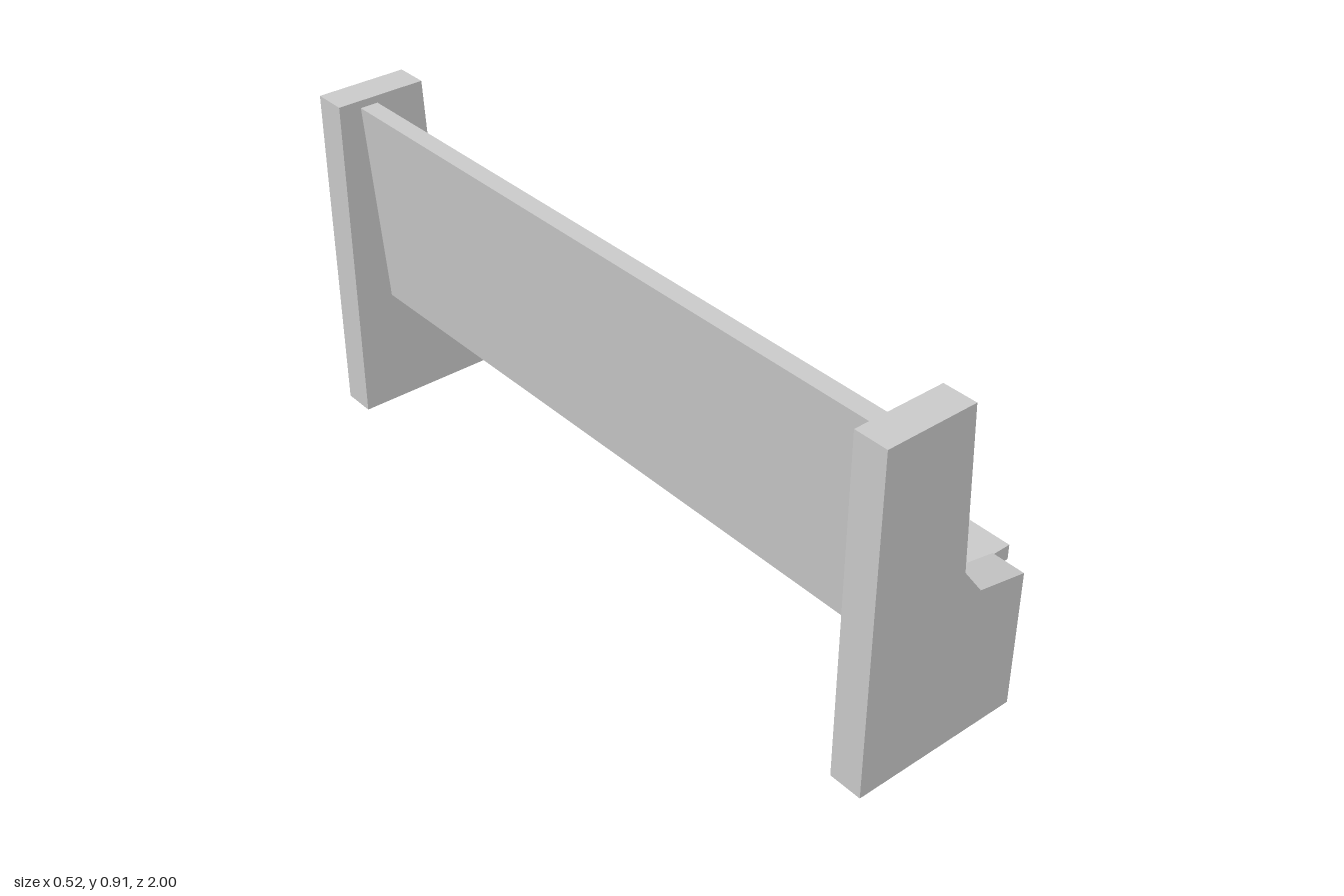
import * as THREE from 'three';

const material = new THREE.MeshStandardMaterial({ color: 0xcccccc, flatShading: true });

// Extrudes an x-y profile along z between z0 and z1
function slab(name, points, z0, z1) {
  const shape = new THREE.Shape(points.map(([x, y]) => new THREE.Vector2(x, y)));
  const geometry = new THREE.ExtrudeGeometry(shape, { depth: z1 - z0, bevelEnabled: false });
  geometry.translate(0, 0, z0);
  const mesh = new THREE.Mesh(geometry, material);
  mesh.name = name;
  return mesh;
}

export function createModel() {
  const bench = new THREE.Group();
  bench.name = 'bench';
  const inner = 0.91, outer = 1;

  // Solid end panels with a stepped armrest outline
  const panel = [
    [-0.262, 0], [0.205, 0], [0.205, 0.373], [0.064, 0.4],
    [0.007, 0.477], [-0.015, 0.913], [-0.262, 0.913],
  ];
  bench.add(slab('leftEndPanel', panel, inner, outer));
  bench.add(slab('rightEndPanel', panel, -outer, -inner));

  // Seat board, its rear edge flush with the leaning back
  const seat = [[-0.156, 0.328], [0.26, 0.328], [0.26, 0.368], [-0.159, 0.368]];
  bench.add(slab('seat', seat, -inner, inner));

  // Backrest board leaning slightly backwards
  const back = [[-0.159, 0.368], [-0.109, 0.368], [-0.15, 0.893], [-0.2, 0.893]];
  bench.add(slab('backrest', back, -inner, inner));

  return bench;
}
